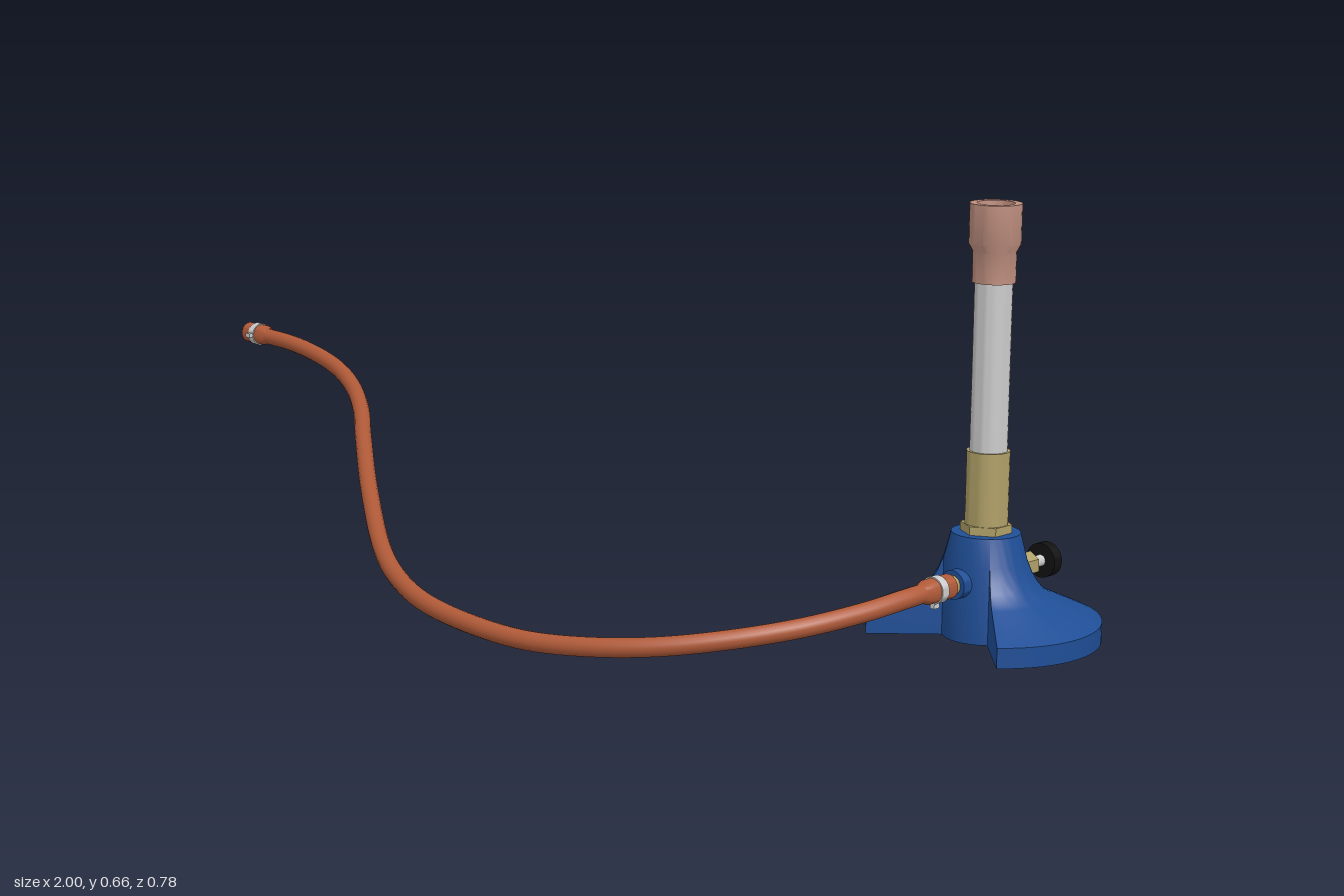
import * as THREE from 'three';
import { toCreasedNormals } from 'three/addons/utils/BufferGeometryUtils.js';

const BLUE = 0x1f4e96, BRASS = 0xb0a068, COPPER = 0xc09080, HOSE = 0xb05a38, GREY = 0xcccccc, BLACK = 0x111111;
const V = (x, y, z) => new THREE.Vector3(x, y, z);

function mesh(name, geometry, color, side = THREE.FrontSide) {
  const m = new THREE.Mesh(geometry, new THREE.MeshStandardMaterial({ color, side }));
  m.name = name;
  return m;
}

// Turned part from [radius, height] pairs
function turned(name, profile, color, sides = 32, start = 0, sweep = Math.PI * 2) {
  const pts = profile.map(([r, y]) => new THREE.Vector2(r, y));
  const geo = new THREE.LatheGeometry(pts, sides, start, sweep);
  return mesh(name, toCreasedNormals(geo, 0.6), color, THREE.DoubleSide);
}

// Solid rod with its axis along z, between z0 and z1
function rodZ(name, r, z0, z1, y, color, sides = 24) {
  const geo = new THREE.CylinderGeometry(r, r, Math.abs(z1 - z0), sides);
  const m = mesh(name, toCreasedNormals(geo, 0.6), color);
  m.rotation.x = Math.PI / 2;
  m.position.set(0, y, (z0 + z1) / 2);
  return m;
}

// Swollen hose end with a bore and a clamp ring, its mouth at y = 0 locally
function hoseEnd(name) {
  const g = new THREE.Group();
  g.name = name;
  g.add(turned('hoseSleeve', [[0, 0.03], [0.011, 0.03], [0.011, 0], [0.019, 0], [0.019, 0.05], [0.0145, 0.064]].reverse(), HOSE, 24));
  g.add(turned('clampRing', [[0.018, 0.022], [0.021, 0.022], [0.021, 0.037], [0.018, 0.037]], GREY, 24));
  const lug = mesh('clampLug', new THREE.BoxGeometry(0.008, 0.012, 0.01), GREY);
  lug.position.set(0, 0.03, 0.023);
  g.add(lug);
  return g;
}

export function createModel() {
  const model = new THREE.Group();
  const burner = new THREE.Group();
  burner.name = 'burner';
  burner.position.set(0.8234, 0, -0.2146);
  model.add(burner);

  // Foot: three quarters of a flared disc, open to the front
  const foot = [[0, 0], [0.1766, 0], [0.1766, 0.031], [0.102, 0.065], [0.09, 0.073], [0.08, 0.085],
    [0.071, 0.1], [0.063, 0.12], [0.052, 0.162], [0, 0.162]];
  burner.add(turned('foot', foot, BLUE, 48, Math.PI / 4, Math.PI * 1.5));
  const section = new THREE.Shape(foot.map(([r, y]) => new THREE.Vector2(r, y)));
  for (const phi of [Math.PI / 4, -Math.PI / 4]) {
    const wall = mesh('footCutWall', new THREE.ShapeGeometry(section), BLUE, THREE.DoubleSide);
    wall.rotation.y = phi - Math.PI / 2;
    burner.add(wall);
  }
  burner.add(turned('hub', [[0, 0.001], [0.062, 0.001], [0.062, 0.12], [0.052, 0.162], [0, 0.162]], BLUE));

  // Upright: nut, brass collar, steel tube, flared tip
  const nut = mesh('collarNut', toCreasedNormals(new THREE.CylinderGeometry(0.039, 0.039, 0.014, 6), 0.6), BRASS);
  nut.position.y = 0.168;
  burner.add(nut);
  burner.add(turned('collar', [[0, 0.17], [0.0325, 0.17], [0.0325, 0.287], [0.026, 0.287]], BRASS));
  burner.add(turned('barrel', [[0.0283, 0.28], [0.0283, 0.56], [0.022, 0.56], [0.022, 0.2], [0, 0.2]], GREY));
  burner.add(turned('flameTip', [[0.027, 0.542], [0.0325, 0.542], [0.0325, 0.588], [0.0388, 0.6],
    [0.0388, 0.66], [0.028, 0.66], [0.024, 0.59], [0.022, 0.56]], COPPER));

  // Needle valve at the back
  const axisY = 0.092;
  burner.add(rodZ('valveBody', 0.0195, -0.05, -0.111, axisY, BRASS, 6));
  burner.add(rodZ('valveStem', 0.009, -0.11, -0.14, axisY, GREY));
  burner.add(rodZ('valveKnob', 0.027, -0.137, -0.155, axisY, BLACK, 32));

  // Gas inlet at the front
  burner.add(rodZ('inletBoss', 0.0225, 0.03, 0.076, axisY, BLUE));
  burner.add(rodZ('inletNipple', 0.015, 0.07, 0.11, axisY, BRASS));
  const inletEnd = hoseEnd('inletHoseEnd');
  inletEnd.position.set(0, axisY, 0.086);
  inletEnd.rotation.x = Math.PI / 2;
  burner.add(inletEnd);

  // Hose, sweeping down to the ground and up to its free end
  const path = new THREE.CatmullRomCurve3([
    V(-0.955, 0.219, -0.222), V(-0.88, 0.217, -0.221), V(-0.8, 0.21, -0.215), V(-0.7, 0.197, -0.195),
    V(-0.6, 0.18, -0.153), V(-0.5, 0.161, -0.09), V(-0.4, 0.141, -0.012), V(-0.2, 0.1, 0.14),
    V(0, 0.058, 0.278), V(0.1, 0.042, 0.33), V(0.2, 0.03, 0.361), V(0.32, 0.023, 0.372),
    V(0.43, 0.021, 0.364), V(0.53, 0.027, 0.335), V(0.62, 0.037, 0.288), V(0.7, 0.051, 0.22),
    V(0.765, 0.066, 0.135), V(0.805, 0.08, 0.04), V(0.82, 0.089, -0.03), V(0.8234, 0.092, -0.08)
  ]);
  model.add(mesh('hose', new THREE.TubeGeometry(path, 120, 0.0148, 16), HOSE, THREE.DoubleSide));
  const freeEnd = hoseEnd('freeHoseEnd');
  freeEnd.position.set(-1, 0.22, -0.222);
  freeEnd.rotation.z = -Math.PI / 2;
  model.add(freeEnd);

  return model;
}
